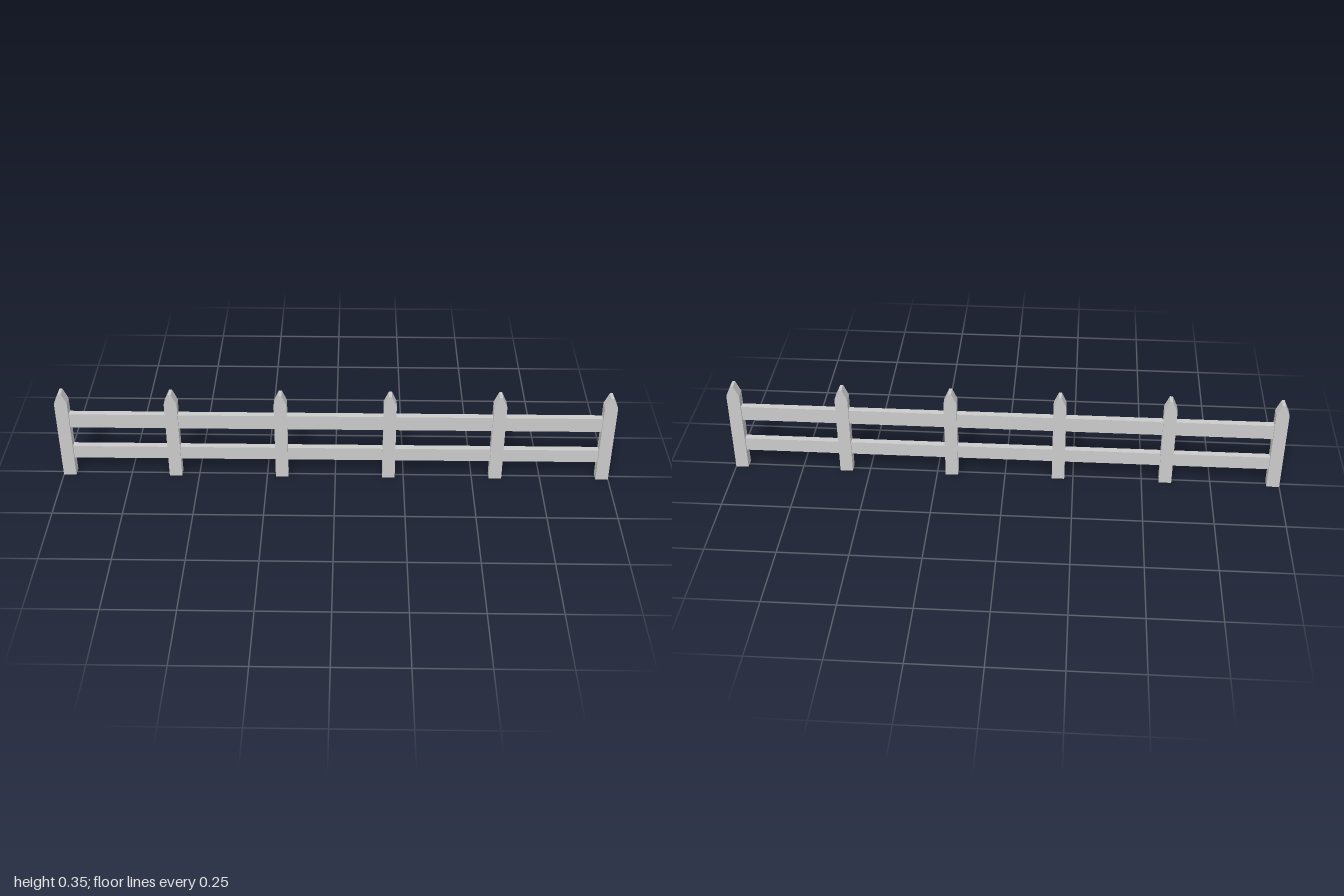
import * as THREE from 'three';

const POSTS = 6, POST_W = 0.046, POST_D = 0.038, HEIGHT = 0.352, SHOULDER = 0.312;
const TIP_W = 0.01, RAIL_D = 0.024;

export function createModel() {
  const fence = new THREE.Group();
  fence.name = 'fence';
  const material = new THREE.MeshStandardMaterial({ color: 0xcccccc, flatShading: true });

  // Post outline: straight sides running up to a narrow blunt tip
  const outline = new THREE.Shape([
    [-POST_W / 2, 0], [POST_W / 2, 0], [POST_W / 2, SHOULDER],
    [TIP_W / 2, HEIGHT], [-TIP_W / 2, HEIGHT], [-POST_W / 2, SHOULDER],
  ].map(([x, y]) => new THREE.Vector2(x, y)));
  const postGeometry = new THREE.ExtrudeGeometry(outline, { depth: POST_D, bevelEnabled: false });
  postGeometry.translate(0, 0, -POST_D / 2);

  // Evenly spaced posts
  const spacing = (2 - POST_W) / (POSTS - 1);
  const postX = (i) => -1 + POST_W / 2 + i * spacing;
  for (let i = 0; i < POSTS; i++) {
    const post = new THREE.Mesh(postGeometry, material);
    post.name = `post${i + 1}`;
    post.position.x = postX(i);
    fence.add(post);
  }

  // Two rails, each a run of boards fitted between neighbouring posts
  for (const [name, bottom, top] of [['lowerRail', 0.073, 0.124], ['upperRail', 0.206, 0.262]]) {
    const rail = new THREE.Group();
    rail.name = name;
    const board = new THREE.BoxGeometry(spacing - POST_W, top - bottom, RAIL_D);
    for (let i = 0; i < POSTS - 1; i++) {
      const mesh = new THREE.Mesh(board, material);
      mesh.name = `${name}Board${i + 1}`;
      mesh.position.set(postX(i) + spacing / 2, (bottom + top) / 2, 0);
      rail.add(mesh);
    }
    fence.add(rail);
  }
  return fence;
}
